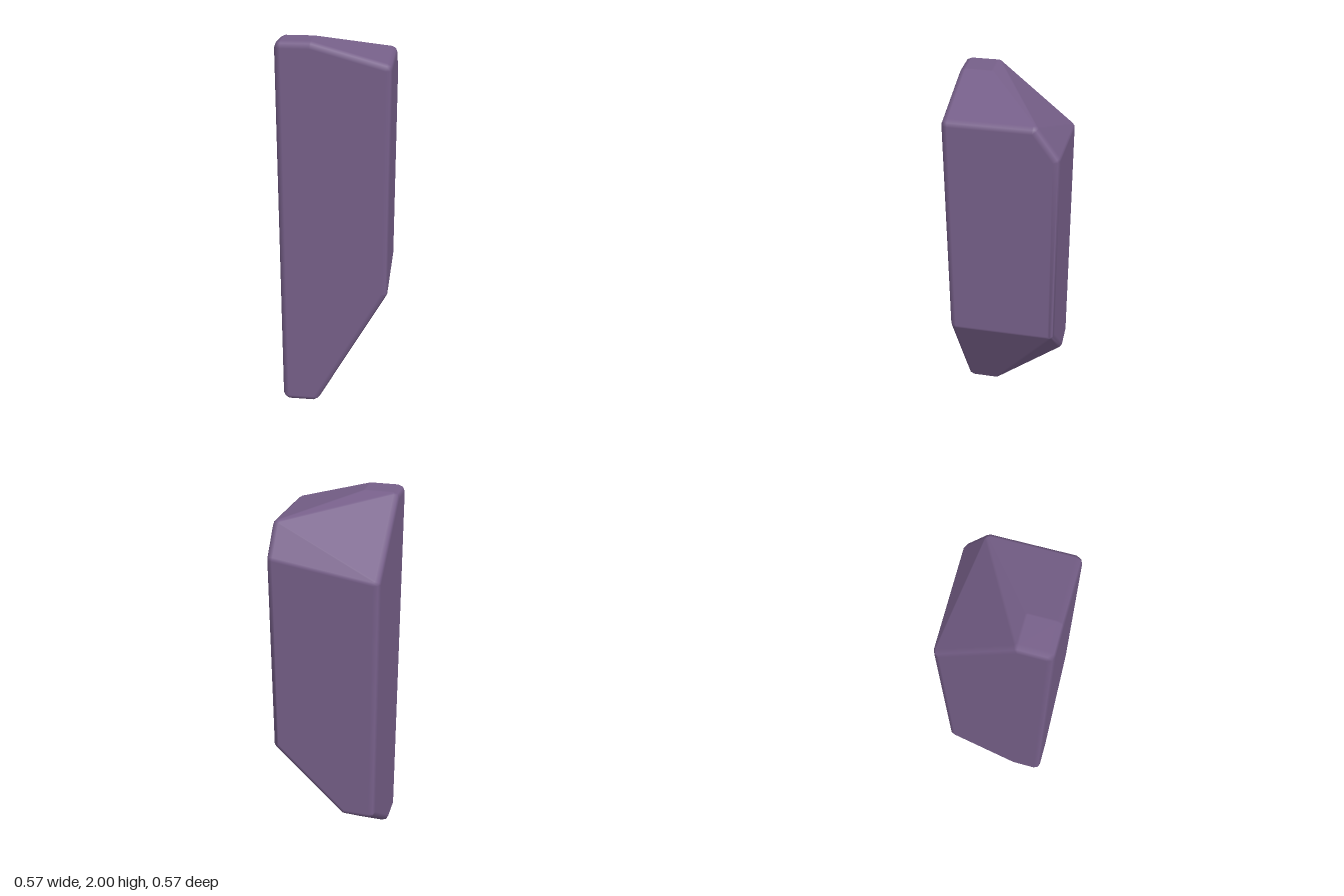
import * as THREE from 'three';
import { ConvexGeometry } from 'three/addons/geometries/ConvexGeometry.js';

const BEVEL = 0.033;
const H = 0.25; // half width of the core, before the bevel is added

// Grow a convex core outwards by r, with rounded two-segment edges and smooth normals.
function bevelledHull(corners, r) {
  const core = new ConvexGeometry(corners).getAttribute('position');
  const normalsAt = corners.map(() => []);
  for (let i = 0; i < core.count; i += 3) {
    const [a, b, c] = [0, 1, 2].map((k) => new THREE.Vector3().fromBufferAttribute(core, i + k));
    const n = new THREE.Triangle(a, b, c).getNormal(new THREE.Vector3());
    for (const p of [a, b, c]) {
      const list = normalsAt[corners.findIndex((q) => q.distanceTo(p) < 1e-5)];
      if (!list.some((m) => m.dot(n) > 0.9999)) list.push(n);
    }
  }

  // Each corner gets one point per adjoining face, plus the points halfway between them
  const points = [];
  const pointNormals = [];
  const add = (corner, n) => {
    points.push(corner.clone().addScaledVector(n, r));
    pointNormals.push(n);
  };
  corners.forEach((corner, i) => {
    const list = normalsAt[i];
    list.forEach((n, j) => {
      add(corner, n);
      for (const m of list.slice(j + 1)) {
        if (m.dot(n) < 0.97) add(corner, m.clone().add(n).normalize());
      }
    });
  });

  const geometry = new ConvexGeometry(points);
  const position = geometry.getAttribute('position');
  const normal = geometry.getAttribute('normal');
  const p = new THREE.Vector3();
  for (let i = 0; i < position.count; i++) {
    p.fromBufferAttribute(position, i);
    const k = points.findIndex((q) => q.distanceTo(p) < 1e-5);
    if (k >= 0) normal.setXYZ(i, ...pointNormals[k].toArray());
  }
  return geometry;
}

export function createModel() {
  const group = new THREE.Group();
  group.name = 'crystalShard';

  const corners = [
    // small flat tip
    [-H, 1.967, H], [-0.11, 1.967, H], [-0.11, 1.967, 0.12], [-H, 1.967, 0.12],
    // upper rim, sloping to the sides and back
    [H, 1.87, H], [H, 1.87, -0.15], [H, 1.733, -H], [-H, 1.66, -H],
    // lower rim
    [H, 0.692, H], [H, 0.692, -H], [-0.115, 0.327, -H], [-H, 0.327, -H],
    // small flat foot
    [-H, 0.033, H], [-0.112, 0.033, H], [-0.112, 0.033, 0.118], [-H, 0.033, 0.118],
  ].map((c) => new THREE.Vector3(...c));

  const shard = new THREE.Mesh(
    bevelledHull(corners, BEVEL),
    new THREE.MeshStandardMaterial({ color: 0x77608a })
  );
  shard.name = 'shardBody';
  group.add(shard);
  return group;
}
